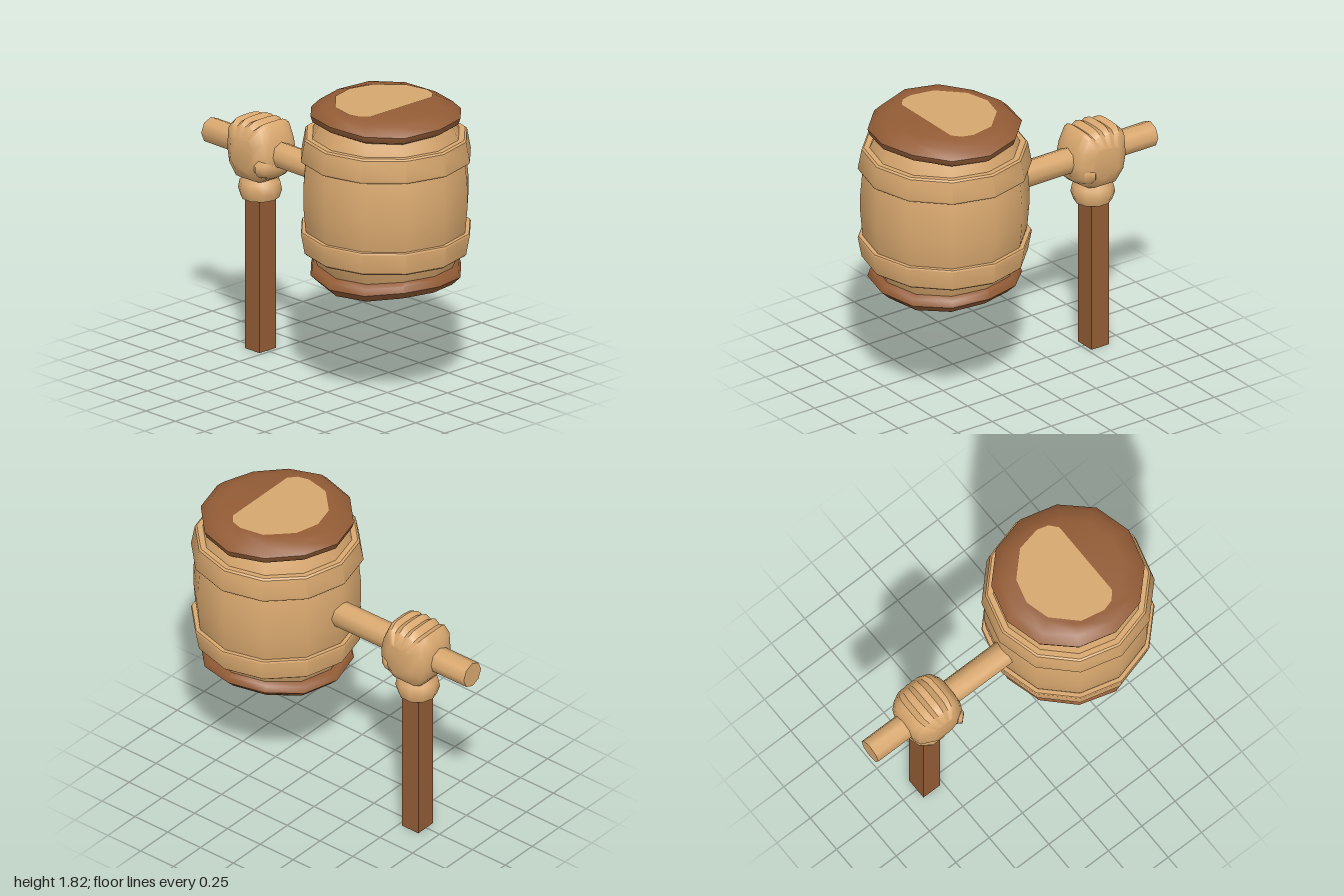
import * as THREE from 'three';
import { toCreasedNormals } from 'three/addons/utils/BufferGeometryUtils.js';

const SIDES = 12;
const BARREL_Z = 0.487, MID_Y = 1.257, HAND_Z = -0.57, GRIP_Y = 1.25;

const material = (name, color) => {
  const m = new THREE.MeshStandardMaterial({ color });
  m.name = name;
  return m;
};

const lathe = (points, sides) =>
  new THREE.LatheGeometry(points.map(([r, y]) => new THREE.Vector2(r, y)), sides);

// Move every vertex of a geometry by a rule
function moveVertices(geometry, rule) {
  const pos = geometry.attributes.position, v = new THREE.Vector3();
  for (let i = 0; i < pos.count; i++) {
    rule(v.fromBufferAttribute(pos, i));
    pos.setXYZ(i, v.x, v.y, v.z);
  }
  return geometry;
}

export function createModel() {
  const tan = material('tan', 0xd9a86f);
  const brown = material('brown', 0x935c36);
  const hide = material('hide', 0xd4a66d);
  const model = new THREE.Group();
  model.name = 'barrelMallet';

  const add = (parent, name, geometry, mat, crease = 0.65) => {
    const mesh = new THREE.Mesh(crease ? toCreasedNormals(geometry, crease) : geometry, mat);
    mesh.name = name;
    parent.add(mesh);
    return mesh;
  };

  // Barrel head
  const barrel = new THREE.Group();
  barrel.name = 'barrel';
  barrel.position.set(0, MID_Y, BARREL_Z);
  model.add(barrel);

  add(barrel, 'barrelBody', lathe([
    [0.39, -0.48], [0.45, -0.35], [0.488, -0.2], [0.5, -0.06],
    [0.5, 0.06], [0.488, 0.2], [0.45, 0.35], [0.39, 0.48],
  ], SIDES), tan);

  // Each end has a band, a lumpy cap and a flat patch; the lower end is the upper one turned over
  for (const [name, turn] of [['upper', 0], ['lower', Math.PI]]) {
    const end = new THREE.Group();
    end.name = name + 'End';
    end.rotation.x = turn;
    barrel.add(end);

    add(end, name + 'Band', lathe([
      [0.45, 0.22], [0.51, 0.218], [0.515, 0.228], [0.492, 0.352], [0.48, 0.362], [0.43, 0.36],
    ], SIDES), tan);

    const cap = moveVertices(lathe([
      [0, 0.43], [0.4, 0.43], [0.445, 0.452], [0.457, 0.49], [0.405, 0.54], [0.33, 0.557], [0, 0.557],
    ], SIDES), (v) => {
      const angle = Math.atan2(v.x, v.z);
      if (v.y < 0.55) v.y += 0.013 * Math.sin(3 * angle + 0.6) - 0.008 * Math.sin(angle);
    });
    add(end, name + 'Cap', cap, brown, 0.9);

    const half = [[0.25, -0.133], [0.3, -0.09], [0.32, -0.02], [0.29, 0.13], [0.15, 0.27], [0, 0.31]];
    const outline = [...half, ...half.slice(0, -1).reverse().map(([x, y]) => [-x, y])];
    const patch = new THREE.ShapeGeometry(
      new THREE.Shape(outline.map(([x, y]) => new THREE.Vector2(x, y))));
    patch.rotateX(-Math.PI / 2).translate(0, 0.56, 0);
    add(end, name + 'Patch', patch, hide, 0);
  }

  // Handle running back from the barrel
  const handle = new THREE.CylinderGeometry(0.08, 0.08, 1.05, 8);
  handle.rotateX(Math.PI / 2).translate(0, 0, -0.475);
  const handleMesh = add(model, 'handle', handle, tan, 0.9);
  handleMesh.position.y = GRIP_Y;
  handleMesh.rotation.x = 0.008;

  // Fist: side outline with four knuckles, swept across x and rounded toward both sides
  const fistOutline = [
    [-0.39, 1.17], [-0.385, 1.25], [-0.405, 1.34], [-0.45, 1.435], [-0.475, 1.445], [-0.505, 1.425],
    [-0.545, 1.45], [-0.585, 1.43], [-0.62, 1.45], [-0.66, 1.42], [-0.7, 1.435], [-0.745, 1.39],
    [-0.755, 1.25], [-0.735, 1.15], [-0.67, 1.07], [-0.5, 1.07], [-0.45, 1.1],
  ].map(([z, y]) => new THREE.Vector2(z - HAND_Z, y - GRIP_Y));
  const width = 0.33;
  const fist = moveVertices(
    new THREE.ExtrudeGeometry(new THREE.Shape(fistOutline), { depth: width, steps: 8, bevelEnabled: false }),
    (v) => {
      const u = (v.z / width) * 2 - 1;
      const s = Math.sqrt(1 - 0.72 * u ** 4);
      v.x *= s;
      v.y *= s;
    });
  fist.translate(0, 0, -width / 2).rotateY(-Math.PI / 2);
  add(model, 'fist', fist, tan, 0.8).position.set(0, GRIP_Y, HAND_Z);

  // Thumb closing across the front of the fist
  const thumb = add(model, 'thumb', new THREE.SphereGeometry(1, 10, 7), tan, 0);
  thumb.scale.set(0.18, 0.09, 0.075);
  thumb.position.set(0, 1.19, -0.46);
  thumb.rotation.y = 0.1;

  // Wrist cuff with a brown underside
  add(model, 'cuff', lathe([
    [0.115, 0.95], [0.132, 1.0], [0.122, 1.05], [0.098, 1.08], [0.09, 1.1],
  ], 10), tan, 0.8).position.z = -0.583;
  const underside = new THREE.CircleGeometry(0.115, 10).rotateX(Math.PI / 2);
  add(model, 'cuffUnderside', underside, brown, 0).position.set(0, 0.951, -0.583);

  // Square arm standing on the ground
  const arm = new THREE.BoxGeometry(0.135, 1, 0.125).translate(0.005, 0.5, -0.585);
  add(model, 'arm', arm, brown, 0);

  return model;
}
